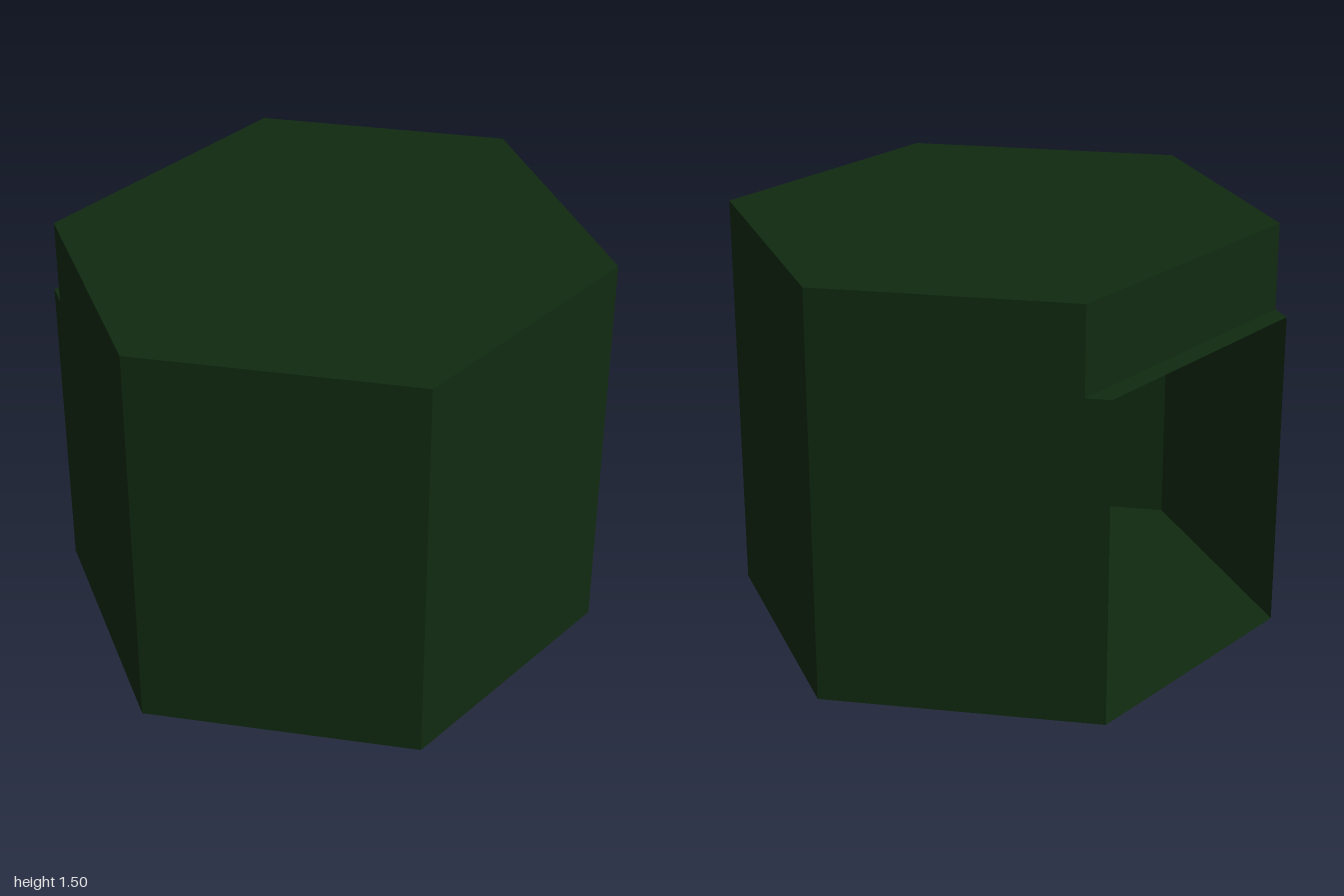
import * as THREE from 'three';

const H = 1.5;                      // full height
const LEDGE_Y = 1.183;              // height of the notch at the back
const BACK = Math.sqrt(3) / 2;      // distance from centre to a flat side
const FLAP_Z = -0.79;               // recessed back flap
const FLAP_X = 1 + FLAP_Z / Math.sqrt(3); // half width of the hexagon at the flap

const green = new THREE.MeshStandardMaterial({ color: 0x102a10, side: THREE.DoubleSide });
green.name = 'dark green';

// Flat sheet through the given corners, fanned from the first one
function panel(name, corners) {
  const geometry = new THREE.BufferGeometry();
  geometry.setAttribute('position', new THREE.Float32BufferAttribute(corners.flat(), 3));
  const index = [];
  for (let i = 1; i < corners.length - 1; i++) index.push(0, i, i + 1);
  geometry.setIndex(index);
  geometry.computeVertexNormals();
  const mesh = new THREE.Mesh(geometry, green);
  mesh.name = name;
  return mesh;
}

// Upright sheet between two ground points
const wall = (name, [ax, az], [bx, bz], y0 = 0, y1 = H) =>
  panel(name, [[ax, y0, az], [bx, y0, bz], [bx, y1, bz], [ax, y1, az]]);

export function createModel() {
  const model = new THREE.Group();
  model.name = 'hexagonalShelter';

  // Floor: full hexagon, facing down
  const hexagon = [[1, 0], [0.5, BACK], [-0.5, BACK], [-1, 0], [-0.5, -BACK], [0.5, -BACK]];
  model.add(panel('floor', hexagon.map(([x, z]) => [x, 0, z]).reverse()));

  // Roof: hexagon cut short at the recessed flap
  const roof = [[1, 0], [FLAP_X, FLAP_Z], [-FLAP_X, FLAP_Z], [-1, 0], [-0.5, BACK], [0.5, BACK]];
  model.add(panel('roof', roof.map(([x, z]) => [x, H, z])));

  // Front wall
  model.add(wall('frontWall', [-0.5, BACK], [0.5, BACK]));

  // Mirrored side walls; the rear pair is notched at the top back corner
  for (const [side, s] of [['left', 1], ['right', -1]]) {
    model.add(wall(side + 'FrontWall', [s * 0.5, BACK], [s, 0]));
    const notched = [
      [s * FLAP_X, LEDGE_Y, FLAP_Z], [s * FLAP_X, H, FLAP_Z], [s, H, 0],
      [s, 0, 0], [s * 0.5, 0, -BACK], [s * 0.5, LEDGE_Y, -BACK],
    ];
    model.add(panel(side + 'RearWall', s > 0 ? notched : [notched[0], ...notched.slice(1).reverse()]));
  }

  // Back opening: recessed flap above, narrow ledge below it
  model.add(wall('backFlap', [FLAP_X, FLAP_Z], [-FLAP_X, FLAP_Z], LEDGE_Y, H));
  model.add(panel('backLedge', [
    [-FLAP_X, LEDGE_Y, FLAP_Z], [FLAP_X, LEDGE_Y, FLAP_Z],
    [0.5, LEDGE_Y, -BACK], [-0.5, LEDGE_Y, -BACK],
  ]));

  return model;
}
